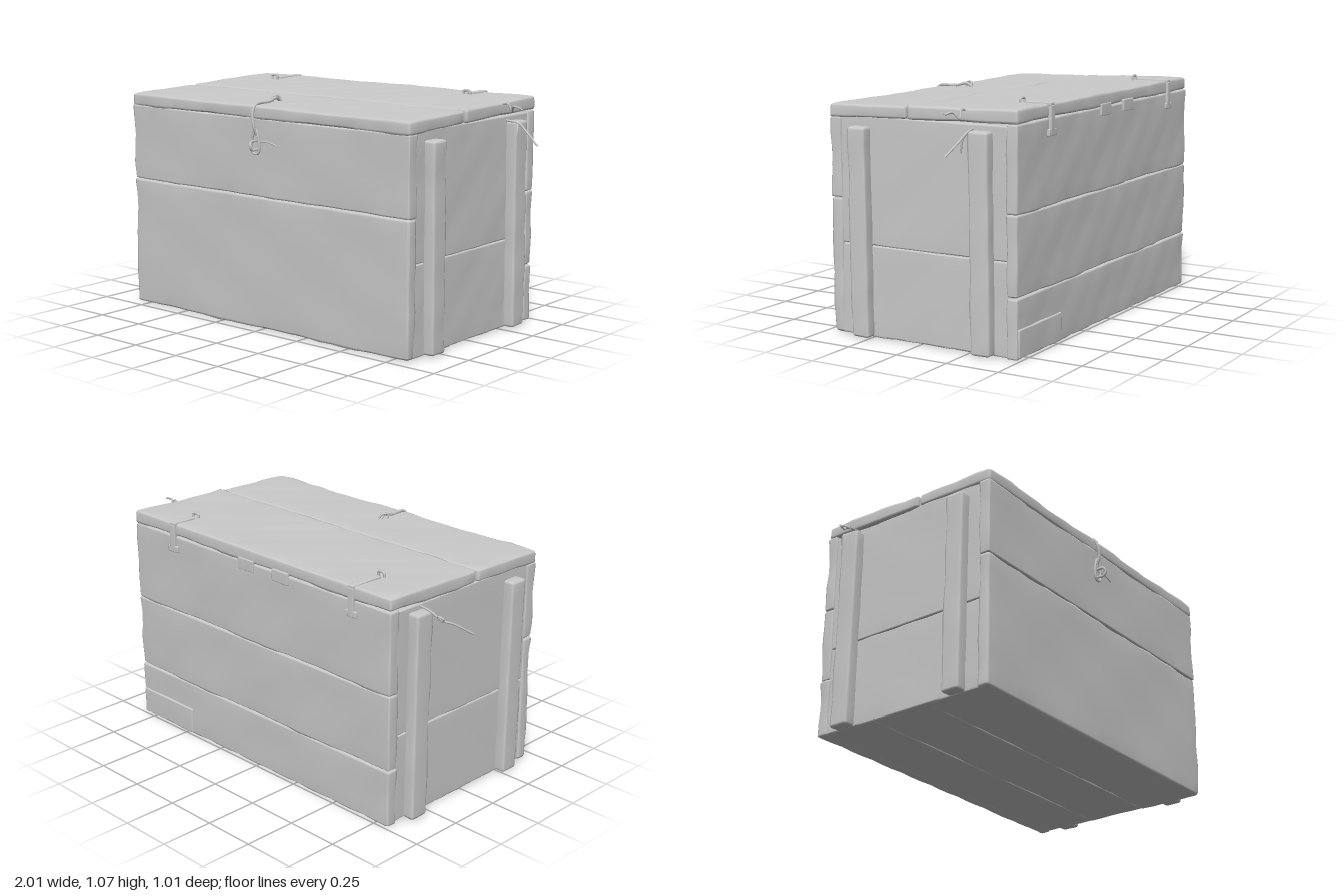
import * as THREE from 'three';
import { mergeVertices } from 'three/addons/utils/BufferGeometryUtils.js';

const material = new THREE.MeshStandardMaterial({ color: 0xcccccc, side: THREE.DoubleSide });

// Worn board between two corners: bevelled edges and a gentle uneven surface
function board(name, min, max, { r = 0.012, wear = 0.003, seed = 0 } = {}) {
  const size = max.map((v, i) => v - min[i]);
  const seg = size.map(s => Math.max(3, Math.min(26, Math.round(s / 0.065) + 2)));
  let geo = new THREE.BoxGeometry(2, 2, 2, ...seg);
  geo.deleteAttribute('uv');
  geo.deleteAttribute('normal');
  geo = mergeVertices(geo, 1e-4);
  const pos = geo.attributes.position;
  const inner = new THREE.Vector3(), p = new THREE.Vector3();
  for (let i = 0; i < pos.count; i++) {
    [0, 1, 2].forEach(a => {
      // first and last grid rows are kept for the bevel
      const h = size[a] / 2, n = seg[a];
      const k = Math.round((pos.getComponent(i, a) + 1) / 2 * n);
      const v = k === 0 ? -h : k === n ? h : -h + r + (k - 1) / (n - 2) * (2 * h - 2 * r);
      p.setComponent(a, v);
      inner.setComponent(a, Math.max(r - h, Math.min(h - r, v)));
    });
    const dir = p.clone().sub(inner).normalize();
    p.copy(inner).addScaledVector(dir, r);
    const x = p.x + min[0] + seed, y = p.y + min[1], z = p.z + min[2] + seed;
    const edge = Math.max(...dir.toArray().map(Math.abs)) < 0.95 ? 1.6 : 0.7;
    const bump = Math.sin(x * 9 + y * 5) * Math.sin(z * 11 + y * 14 + 1) + 0.5 * Math.sin(x * 31 + y * 27 + z * 29);
    p.addScaledVector(dir, wear * edge * bump);
    pos.setXYZ(i, p.x, p.y, p.z);
  }
  geo.computeVertexNormals();
  const mesh = new THREE.Mesh(geo, material);
  mesh.name = name;
  mesh.position.set(...min.map((v, i) => (v + max[i]) / 2));
  return mesh;
}

// Bent wire through a few points
function wire(name, points, radius = 0.005, closed = false) {
  const curve = new THREE.CatmullRomCurve3(points.map(p => new THREE.Vector3(...p)), closed);
  const mesh = new THREE.Mesh(new THREE.TubeGeometry(curve, points.length * 6, radius, 6, closed), material);
  mesh.name = name;
  return mesh;
}

export function createModel() {
  const model = new THREE.Group();
  model.name = 'woodenCrate';

  // Box core and floor planks
  model.add(board('core', [-0.8, 0.03, -0.46], [0.81, 0.975, 0.43], { wear: 0 }));
  [[-0.47, -0.17], [-0.167, 0.13], [0.133, 0.44]].forEach(([a, b], i) =>
    model.add(board('floorPlank', [-0.81, 0.012, a], [0.82, 0.06, b], { r: 0.006, wear: 0.002, seed: i })));

  // Front and back planks
  [[0.012, 0.619], [0.621, 0.975]].forEach(([a, b], i) =>
    model.add(board('frontPlank', [-0.82, a, 0.4], [0.83, b, 0.455], { seed: i * 2, r: i ? 0.008 : 0.012 })));
  [[0.01, 0.27], [0.272, 0.62], [0.622, 0.995]].forEach(([a, b], i) =>
    model.add(board('backPlank', [-0.82, a, -0.488], [0.83, b, -0.435], { seed: i * 3, r: 0.009 })));

  // End planks and upright battens
  for (const s of [-1, 1]) {
    const ends = (a, b) => s > 0 ? [a, b] : [-b + 0.01, -a + 0.01];
    const [x0, x1] = ends(0.77, 0.822);
    [[0.014, 0.419], [0.421, 0.985]].forEach(([a, b], i) =>
      model.add(board('endPlank', [x0, a, -0.465], [x1, b, 0.435], { seed: s + i, r: 0.007, wear: 0.002 })));
    const [b0, b1] = ends(0.81, 0.872);
    [[0.245, 0.335, 0.94, 0.008], [-0.372, -0.278, 0.96, 0.01]].forEach(([z0, z1, top, tilt], i) => {
      const batten = board('endBatten', [b0, 0.014, z0], [b1, top, z1], { seed: s * 2 + i, wear: 0.002 });
      batten.rotation.x = tilt;
      model.add(batten);
    });
  }

  // Lid of two boards, rising slightly to the back
  const lid = new THREE.Group();
  lid.name = 'lid';
  lid.position.y = 1.014;
  lid.rotation.x = 0.026;
  lid.add(board('lidFrontBoard', [-0.82, -0.03, 0.06], [0.83, 0.028, 0.457], { seed: 1 }));
  lid.add(board('lidBackBoard', [-0.82, -0.03, -0.488], [0.83, 0.03, 0.05], { seed: 4 }));
  lid.add(board('lidSeamStrip', [-0.8, -0.028, 0.02], [0.81, -0.005, 0.09], { r: 0.005, wear: 0 }));
  model.add(lid);

  // Strap hinges folded over the back edge
  for (const [x, reach] of [[-0.6, -0.33], [0.55, -0.37]]) {
    const hinge = new THREE.Group();
    hinge.name = 'hinge';
    hinge.add(board('topStrap', [x - 0.017, 1.045, -0.497], [x + 0.017, 1.062, reach], { r: 0.004, wear: 0.001 }));
    hinge.add(board('backStrap', [x - 0.017, 0.92, -0.5], [x + 0.017, 1.05, -0.482], { r: 0.004, wear: 0.001 }));
    hinge.add(board('hingePad', [x - 0.034, 0.92, -0.499], [x + 0.03, 0.95, -0.482], { r: 0.004, wear: 0.001 }));
    hinge.add(wire('hingeStaple', [
      [x - 0.018, 1.05, reach + 0.02], [x - 0.015, 1.07, reach + 0.02],
      [x + 0.015, 1.07, reach + 0.02], [x + 0.018, 1.05, reach + 0.02]], 0.006));
    model.add(hinge);
  }

  // Small plates and repair patch on the back
  for (const x of [-0.17, 0.05])
    model.add(board('backPlate', [x - 0.05, 0.955, -0.496], [x + 0.05, 1.01, -0.48], { r: 0.004, wear: 0.001 }));
  model.add(board('backPatch', [0.46, 0.015, -0.496], [0.82, 0.14, -0.47], { r: 0.006, wear: 0.002 }));

  // Wire latch over the front edge
  const latch = new THREE.Group();
  latch.name = 'latch';
  latch.add(wire('latchWire', [[-0.045, 1.03, 0.27], [-0.04, 1.052, 0.3], [-0.035, 1.04, 0.36], [-0.03, 1.035, 0.45],
    [-0.03, 1.0, 0.472], [-0.02, 0.94, 0.475], [-0.02, 0.9, 0.46]], 0.007));
  latch.add(wire('latchStaple', [[-0.055, 1.03, 0.31], [-0.055, 1.055, 0.31], [-0.045, 1.058, 0.28], [-0.035, 1.03, 0.27]], 0.005));
  latch.add(wire('latchLoop', [[-0.02, 0.93, 0.465], [-0.042, 0.87, 0.465], [-0.035, 0.82, 0.465],
    [-0.005, 0.82, 0.465], [0.002, 0.87, 0.465]], 0.006, true));
  latch.add(wire('latchRing', [[-0.02, 0.875, 0.46], [-0.02, 0.873, 0.495], [-0.015, 0.855, 0.505],
    [-0.015, 0.837, 0.495], [-0.015, 0.837, 0.46]], 0.006));
  latch.add(wire('latchTail', [[-0.01, 0.87, 0.46], [0.04, 0.875, 0.459], [0.1, 0.862, 0.457]], 0.003));
  model.add(latch);

  // Loose wire ends at the upper corners
  model.add(wire('rightWire', [[-0.81, 0.975, -0.3], [-0.87, 0.97, -0.305], [-0.93, 0.945, -0.3],
    [-0.96, 0.925, -0.26], [-1.0, 0.87, -0.18]]));
  model.add(wire('rightWireKnot', [[-0.94, 0.95, -0.3], [-0.925, 0.935, -0.29], [-0.91, 0.95, -0.3], [-0.925, 0.96, -0.31]], 0.005, true));
  model.add(wire('leftWire', [[0.82, 0.965, -0.27], [0.88, 0.955, -0.28], [0.93, 0.92, -0.27], [1.0, 0.868, -0.25]]));
  model.add(wire('leftWireHook', [[0.875, 0.955, -0.28], [0.885, 0.93, -0.265], [0.88, 0.87, -0.25]], 0.004));
  model.add(wire('leftUpperWire', [[0.8, 1.03, -0.24], [0.85, 1.045, -0.235], [0.87, 1.01, -0.24],
    [0.89, 1.035, -0.22], [0.94, 1.03, -0.21]]));

  return model;
}
